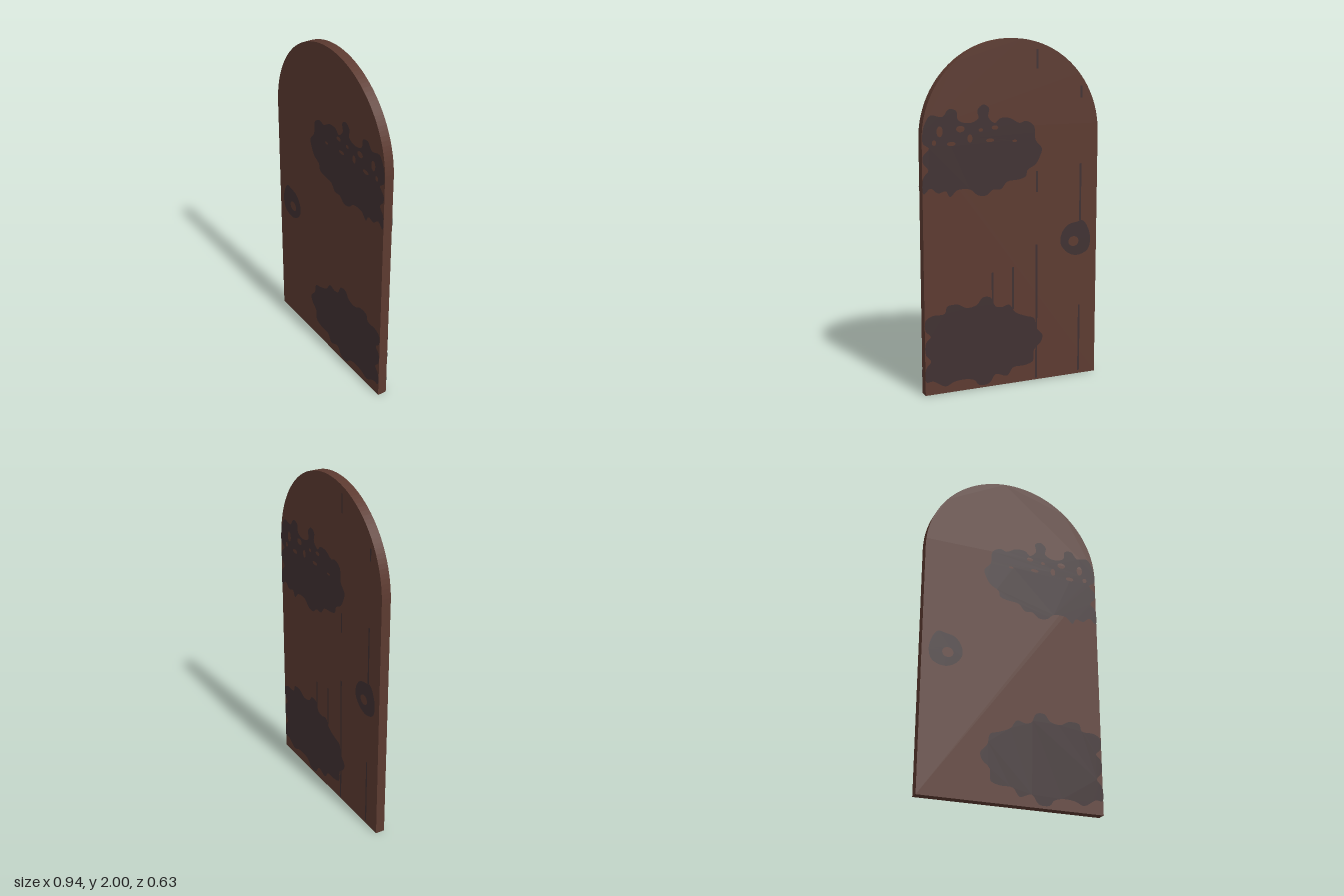
import * as THREE from 'three';

const WIDTH = 1.08, THICK = 0.055, HEIGHT = 2;

// Smooth closed outline from points in hundredths of a unit
function blob(points, holes = []) {
  const pts = points.map(([x, y]) => new THREE.Vector2(x / 100, y / 100));
  const curve = new THREE.CatmullRomCurve3(
    pts.map(p => new THREE.Vector3(p.x, p.y, 0)), true, 'centripetal');
  const shape = new THREE.Shape(
    curve.getPoints(points.length * 4).slice(0, -1).map(p => new THREE.Vector2(p.x, p.y)));
  for (const [x, y, rx, ry] of holes) {
    const hole = new THREE.Path();
    hole.absellipse(x / 100, y / 100, rx / 100, ry / 100, 0, Math.PI * 2, true);
    shape.holes.push(hole);
  }
  return shape;
}

// Upright strip centred on x
function strip(x, y0, y1, w = 0.012) {
  return new THREE.Shape([
    new THREE.Vector2(x - w / 2, y0), new THREE.Vector2(x + w / 2, y0),
    new THREE.Vector2(x + w / 2, y1), new THREE.Vector2(x - w / 2, y1)]);
}

export function createModel() {
  const wood = new THREE.MeshStandardMaterial({ color: 0x5c3a30 });
  wood.name = 'brown wood';
  const iron = new THREE.MeshStandardMaterial({ color: 0x403132, side: THREE.DoubleSide });
  iron.name = 'dark iron';

  const group = new THREE.Group();
  group.name = 'archedDoor';
  const door = new THREE.Group();
  door.name = 'doorLeaf';
  door.rotation.y = -0.573;
  group.add(door);

  // Round-topped wooden panel
  const r = WIDTH / 2;
  const outline = new THREE.Shape();
  outline.moveTo(-r, 0);
  outline.lineTo(r, 0);
  outline.lineTo(r, HEIGHT - r);
  outline.absarc(0, HEIGHT - r, r, 0, Math.PI, false);
  outline.closePath();
  const panelGeo = new THREE.ExtrudeGeometry(outline,
    { depth: THICK, bevelEnabled: false, curveSegments: 32 });
  panelGeo.translate(0, 0, -THICK / 2);
  const panel = new THREE.Mesh(panelGeo, wood);
  panel.name = 'panel';
  door.add(panel);

  // Flat iron face on the front (side 1) or back (side -1)
  const addFace = (name, shape, side) => {
    const mesh = new THREE.Mesh(new THREE.ShapeGeometry(shape, 10), iron);
    mesh.name = name;
    mesh.position.z = side * (THICK / 2 + 0.002);
    door.add(mesh);
  };

  // Ornate hinge plates with pierced scrollwork
  const upperHinge = blob([
    [-18, 138], [-14, 143], [-13, 151], [-8, 154], [-4, 153], [2, 156], [8, 156], [11, 153.5],
    [15, 157], [14.5, 162], [18, 164], [21.5, 161], [21, 156.5], [26.5, 154], [33, 156], [34, 161],
    [38.5, 162], [42, 158], [49, 159], [52.5, 154], [53.5, 150], [53.5, 144], [50, 141], [53.5, 137],
    [53.5, 133], [50.5, 129], [53.5, 125], [53.5, 116], [49.4, 119], [45, 116], [40.5, 117],
    [38, 113.5], [34, 117], [26, 117], [21.5, 113.5], [16.4, 113], [12.5, 116], [7.5, 116],
    [3.7, 120], [-4, 121], [-8, 122.5], [-9, 126], [-14, 129], [-17, 134]],
  [[11, 151, 2, 1.2], [31.6, 151, 2.5, 1.8], [14, 144, 2.5, 1], [-1, 143, 1.5, 0.7],
    [26, 145.5, 1.5, 2.3], [37, 143, 2.5, 1.2], [43.7, 150, 1.8, 3], [47, 144, 1.3, 1.5],
    [19.5, 150, 1.3, 1]]);

  const lowerHinge = blob([
    [-19, 27], [-15, 32], [-13.5, 38], [-8, 40], [-1.5, 43], [2.4, 48], [7, 47], [11, 48],
    [14, 53.5], [19, 54], [22.5, 50], [29, 49], [34, 51.5], [40.5, 51], [42, 47], [49.4, 46.5],
    [53.5, 44], [53.5, 38], [50.5, 34.5], [53.5, 31], [53.5, 24], [50.5, 20], [53.5, 16], [53.5, 8],
    [49.4, 8], [42, 4], [36.7, 6], [29, 6.5], [24, 5], [21.5, 2], [15, 2], [11, 7], [3.7, 5],
    [0, 9.5], [-8, 10], [-13, 12], [-13.5, 18.5], [-18, 23]]);

  // Ring handle plate
  const handle = blob([
    [-50, 82], [-48.5, 89], [-45, 94], [-41, 93.5], [-35, 92], [-31, 87], [-30.5, 81],
    [-35, 75.5], [-41, 73.5], [-48, 76]], [[-38.9, 82, 3.3, 3]]);

  for (const side of [1, -1]) {
    const face = side > 0 ? 'front' : 'back';
    addFace(face + 'UpperHinge', upperHinge, side);
    addFace(face + 'LowerHinge', lowerHinge, side);
    addFace(face + 'Handle', handle, side);
  }

  // Narrow gaps between boards, seen on the back
  for (const [x, y0, y1] of [
    [-0.15, 1.83, 1.94], [-0.15, 1.13, 1.25], [-0.15, 0.01, 0.82], [-0.43, 1.66, 1.73],
    [-0.43, 0.94, 1.28], [-0.43, 0.02, 0.43], [0.127, 0.5, 0.68], [0, 0.45, 0.7]]) {
    addFace('backBoardGap', strip(x, y0, y1), -1);
  }
  return group;
}
